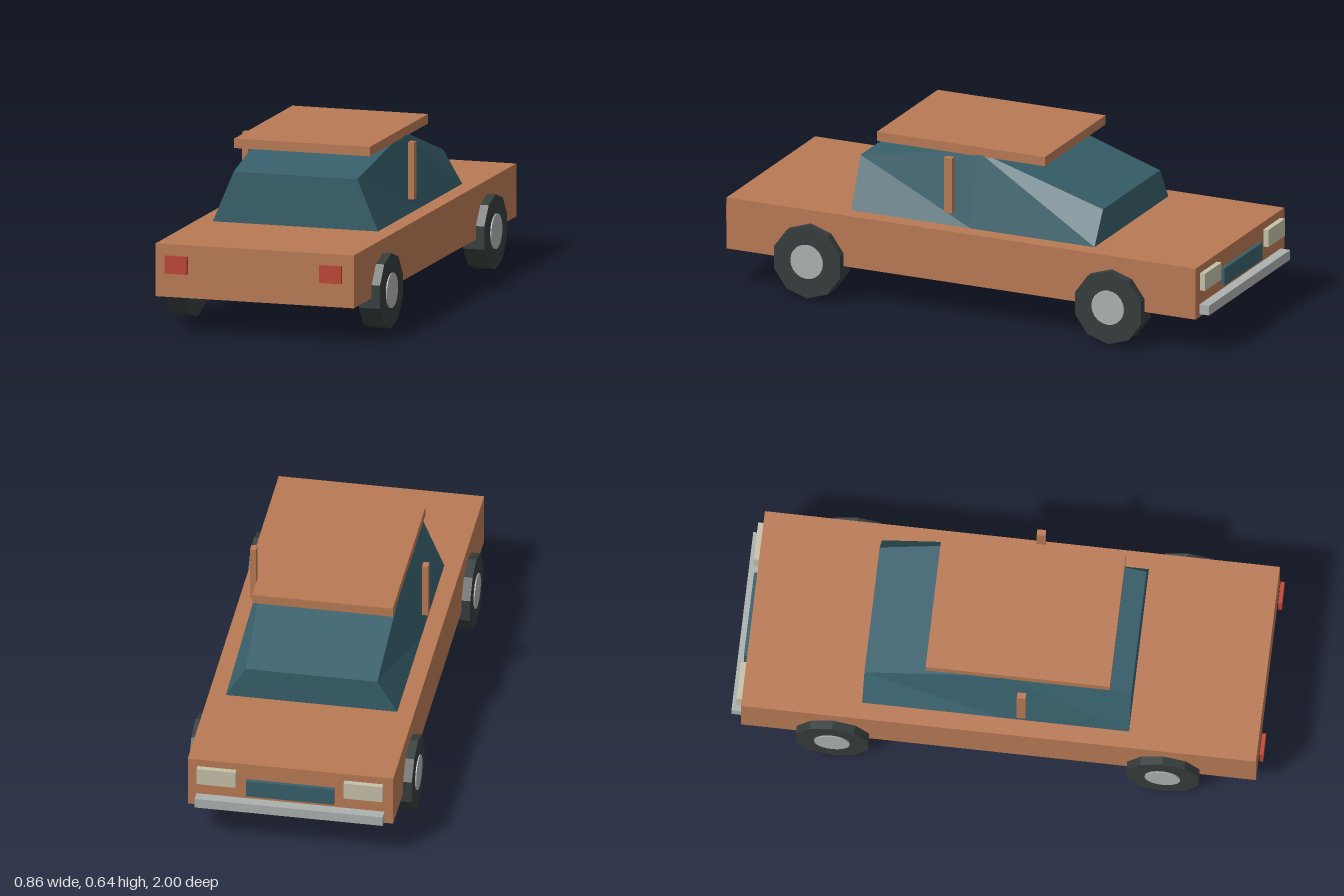
import * as THREE from 'three';

const flat = (name, color) => {
  const m = new THREE.MeshStandardMaterial({ color });
  m.name = name;
  m.flatShading = true;
  return m;
};

export function createModel() {
  const car = new THREE.Group();
  car.name = 'car';

  const paint = flat('copper paint', 0xb87953);
  const glass = flat('teal glass', 0x375f6a);
  const rubber = flat('dark rubber', 0x353c3b);
  const chrome = flat('chrome', 0xabb0ae);
  const lampWhite = flat('headlight cream', 0xc4c0a8);
  const lampRed = flat('tail light red', 0xbd4434);

  const add = (name, geometry, material) => {
    const mesh = new THREE.Mesh(geometry, material);
    mesh.name = name;
    car.add(mesh);
    return mesh;
  };

  // Box given by its extents along each axis
  const box = (name, material, [x0, x1], [y0, y1], [z0, z1]) =>
    add(name, new THREE.BoxGeometry(x1 - x0, y1 - y0, z1 - z0), material)
      .position.set((x0 + x1) / 2, (y0 + y1) / 2, (z0 + z1) / 2);

  // Main shell and overhanging roof slab
  box('body', paint, [-0.39, 0.39], [0.13, 0.331], [-0.96, 0.977]);
  box('roof', paint, [-0.267, 0.267], [0.599, 0.635], [-0.28, 0.413]);

  // Glass cabin lofted through trapezoid sections: z, top height, top half width
  const sections = [[0.492, 0.525, 0.243], [0, 0.618, 0.264], [-0.512, 0.457, 0.25]];
  const points = [];
  for (const [z, y, w] of sections) {
    points.push(-0.325, 0.331, z, 0.325, 0.331, z, w, y, z, -w, y, z);
  }
  const index = [0, 1, 2, 0, 2, 3];
  for (let s = 0; s < sections.length - 1; s++) {
    for (let k = 0; k < 4; k++) {
      const a = s * 4 + k, b = s * 4 + (k + 1) % 4;
      index.push(a, a + 4, b, b, a + 4, b + 4);
    }
  }
  const end = (sections.length - 1) * 4;
  index.push(end, end + 2, end + 1, end, end + 3, end + 2);
  const loft = new THREE.BufferGeometry();
  loft.setAttribute('position', new THREE.Float32BufferAttribute(points, 3));
  loft.setIndex(index);
  const cabin = loft.toNonIndexed();
  cabin.computeVertexNormals();
  add('cabin glass', cabin, glass);

  // Bumper and grille at the headlight end
  box('bumper', chrome, [-0.357, 0.357], [0.142, 0.18], [-1, -0.96]);
  box('grille', glass, [-0.167, 0.167], [0.198, 0.265], [-0.975, -0.96]);

  // Paired parts on both sides
  const tyreShape = new THREE.CylinderGeometry(0.143, 0.143, 0.083, 10);
  tyreShape.rotateY(Math.PI / 2).rotateZ(Math.PI / 2);
  const hubShape = new THREE.CylinderGeometry(0.067, 0.067, 0.09, 20).rotateZ(Math.PI / 2);
  for (const side of [-1, 1]) {
    const label = side > 0 ? 'left' : 'right';
    const span = (a, b) => (side > 0 ? [a, b] : [-b, -a]);
    box(label + ' pillar', paint, span(0.315, 0.338), [0.383, 0.6], [0.071, 0.104]);
    box(label + ' headlight', lampWhite, span(0.205, 0.353), [0.235, 0.302], [-0.981, -0.96]);
    box(label + ' tail light', lampRed, span(0.26, 0.347), [0.223, 0.29], [0.985, 1]);

    for (const [end, z] of [['front', 0.629], ['rear', -0.614]]) {
      add(`${label} ${end} tyre`, tyreShape, rubber).position.set(side * 0.3815, 0.136, z);
      add(`${label} ${end} hub`, hubShape, chrome).position.set(side * 0.3825, 0.138, z);
    }
  }
  return car;
}
